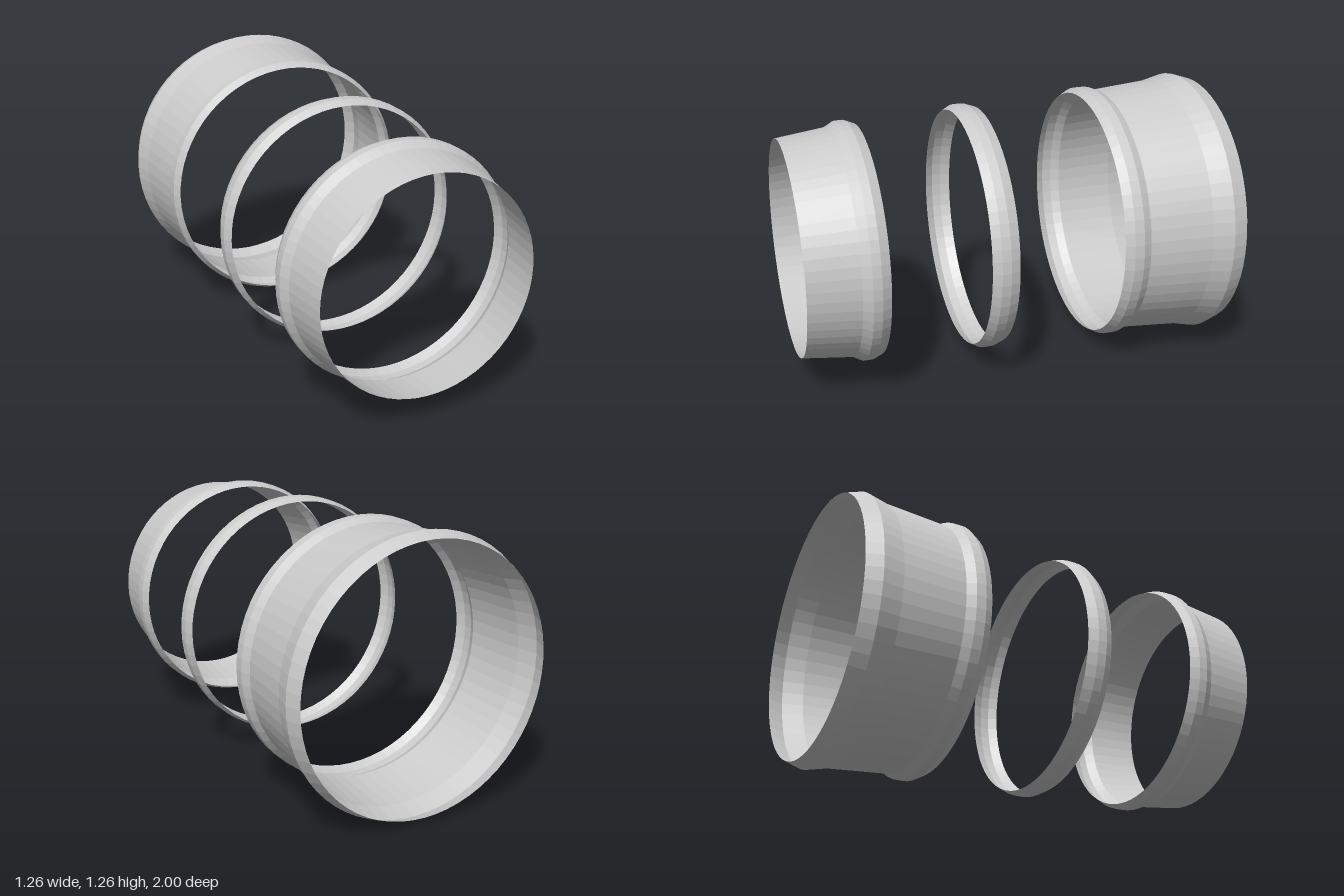
import * as THREE from 'three';

const SEGMENTS = 64;
const AXIS_HEIGHT = 0.63;

// Thin open shell turned around the z axis from [z, radius] points, back to front
function shell(name, profile, material) {
  const points = profile.map(([z, r]) => new THREE.Vector2(r, z));
  const geometry = new THREE.LatheGeometry(points, SEGMENTS);
  geometry.rotateX(Math.PI / 2);
  const mesh = new THREE.Mesh(geometry, material);
  mesh.name = name;
  mesh.position.y = AXIS_HEIGHT;
  return mesh;
}

export function createModel() {
  const group = new THREE.Group();
  group.name = 'ringAssembly';
  const material = new THREE.MeshStandardMaterial({
    color: 0xcccccc, flatShading: true, side: THREE.DoubleSide,
  });

  // Wide rear sleeve: flared rim, tapering wall, rounded front bead
  group.add(shell('rearSleeve', [
    [-1, 0.604], [-0.927, 0.628], [-0.83, 0.605], [-0.535, 0.581],
    [-0.495, 0.6], [-0.45, 0.6], [-0.412, 0.578],
  ], material));

  // Narrow bevelled band in the middle
  group.add(shell('middleRing', [
    [0.075, 0.56], [0.12, 0.576], [0.162, 0.576], [0.2, 0.554],
  ], material));

  // Front sleeve: rear bead, then a wall narrowing to the front
  group.add(shell('frontSleeve', [
    [0.642, 0.535], [0.685, 0.553], [0.725, 0.553], [0.767, 0.529], [1, 0.5],
  ], material));

  return group;
}
